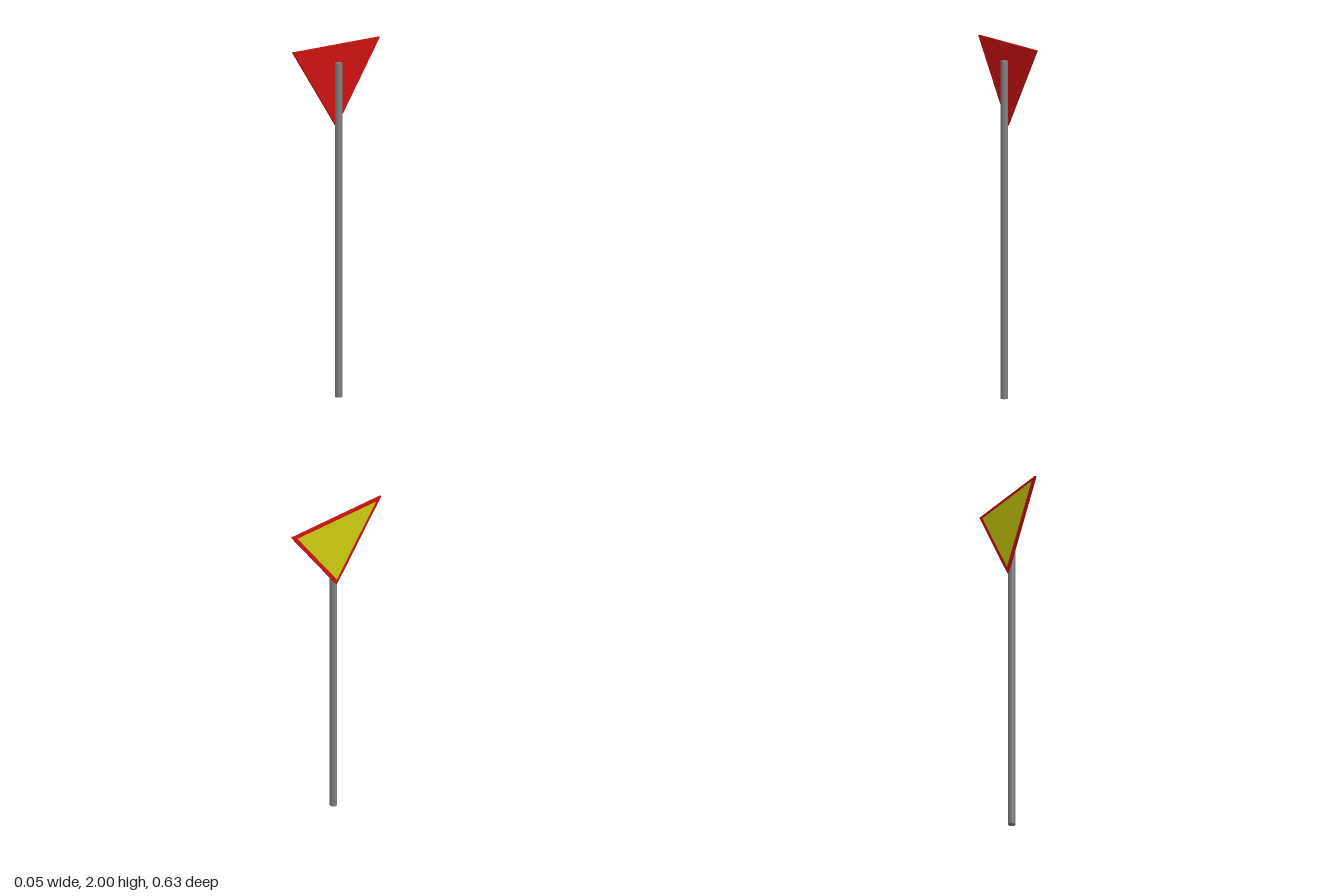
import * as THREE from 'three';

// Downward-pointing triangular plate, extruded from x0 towards -x
function triangle(name, halfWidth, top, bottom, x0, depth, color) {
  const shape = new THREE.Shape([
    new THREE.Vector2(-halfWidth, top),
    new THREE.Vector2(0, bottom),
    new THREE.Vector2(halfWidth, top),
  ]);
  const geometry = new THREE.ExtrudeGeometry(shape, { depth, bevelEnabled: false });
  geometry.rotateY(-Math.PI / 2);
  const mesh = new THREE.Mesh(geometry, new THREE.MeshStandardMaterial({ color }));
  mesh.name = name;
  mesh.position.x = x0;
  return mesh;
}

export function createModel() {
  const model = new THREE.Group();
  model.name = 'yieldSign';

  // Round post
  const post = new THREE.Mesh(
    new THREE.CylinderGeometry(0.021, 0.021, 1.9, 32),
    new THREE.MeshStandardMaterial({ color: 0x808080 })
  );
  post.name = 'post';
  post.position.set(0.005, 0.95, 0);
  model.add(post);

  // Red plate with a thin yellow panel on its face
  model.add(triangle('signPlate', 0.316, 2, 1.535, -0.013, 0.012, 0xcc1111));
  model.add(triangle('signPanel', 0.278, 1.981, 1.573, -0.024, 0.003, 0xcccc11));
  return model;
}
